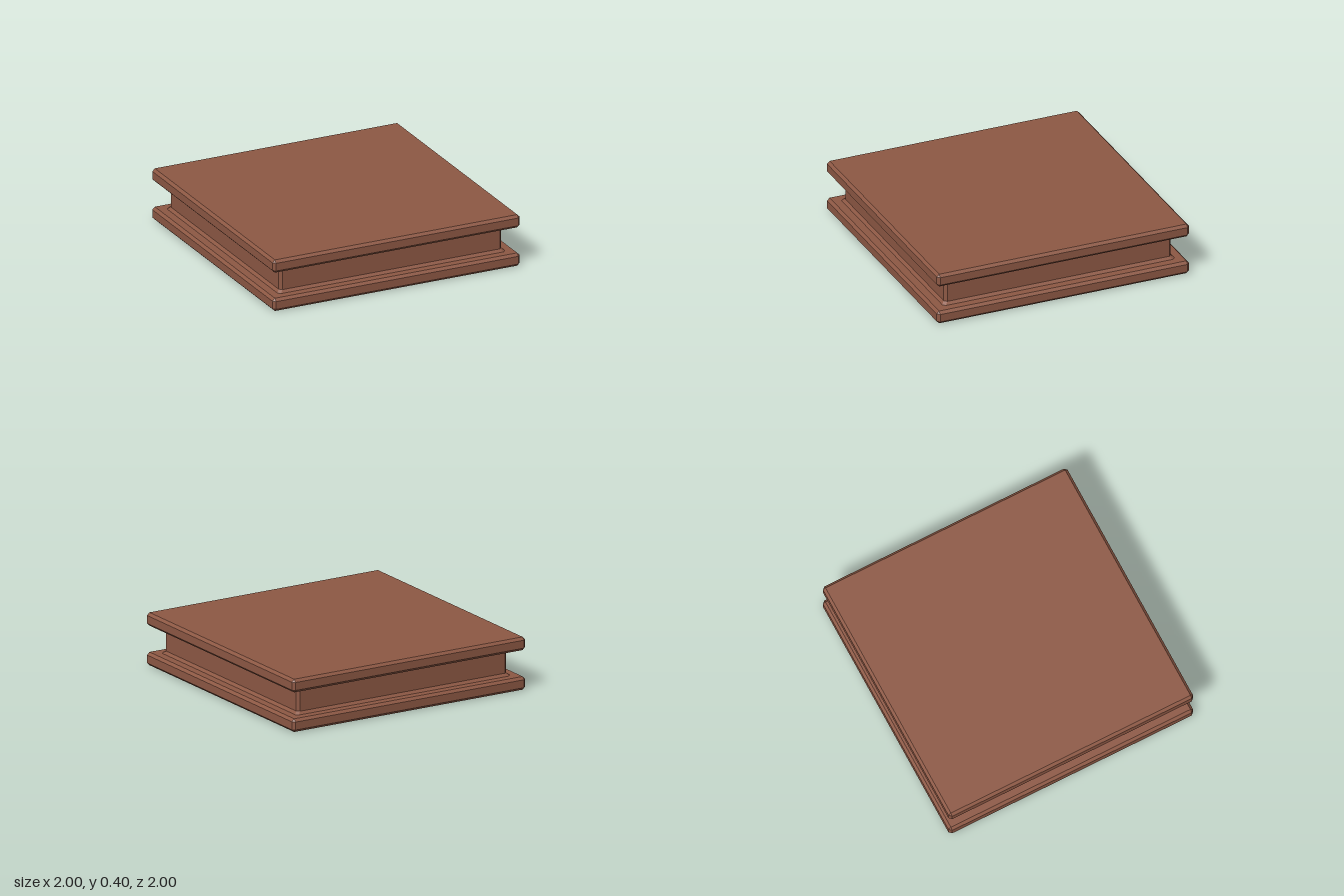
import * as THREE from 'three';

const brown = new THREE.MeshStandardMaterial({ name: 'reddish brown', color: 0x8d5844 });

// Square ring with cut corners: h is the half width, c the half length of each flat side
const ring = (h, c, y) => [[h, -c], [h, c], [c, h], [-c, h], [-h, c], [-h, -c], [-c, -h], [c, -h]]
  .map(([x, z]) => new THREE.Vector3(x, y, z));

// Joins a stack of [halfWidth, halfSide, y] rings, listed from bottom to top
function loft(name, profile, capped) {
  const rings = profile.map((p) => ring(...p));
  const points = [];
  const tri = (a, b, c) => {
    if (new THREE.Triangle(a, b, c).getArea() > 1e-7) points.push(a, b, c);
  };
  for (let k = 0; k < rings.length - 1; k++) {
    const low = rings[k], high = rings[k + 1];
    for (let i = 0; i < 8; i++) {
      const j = (i + 1) % 8;
      tri(low[i], high[i], low[j]);
      tri(low[j], high[i], high[j]);
    }
  }
  if (capped) {
    const bottom = rings[0], top = rings[rings.length - 1];
    for (let i = 1; i < 7; i++) {
      tri(bottom[0], bottom[i], bottom[i + 1]);
      tri(top[0], top[i + 1], top[i]);
    }
  }
  const geometry = new THREE.BufferGeometry().setFromPoints(points);
  geometry.computeVertexNormals();
  const mesh = new THREE.Mesh(geometry, brown);
  mesh.name = name;
  return mesh;
}

export function createModel() {
  const model = new THREE.Group();
  model.name = 'plinth';

  // Two matching slabs with bevelled edges
  const slab = [[0.98, 0.98, 0], [1, 0.98, 0.02], [1, 0.98, 0.08], [0.98, 0.98, 0.1]];
  const lower = loft('lowerSlab', slab, true);
  const upper = loft('upperSlab', slab, true);
  upper.position.y = 0.3;

  // Recessed neck, flaring slightly where it meets the slabs
  const neck = loft('neck', [
    [0.92, 0.9, 0.1], [0.9, 0.88, 0.12], [0.9, 0.88, 0.28], [0.92, 0.9, 0.3],
  ], false);

  model.add(lower, neck, upper);
  return model;
}
